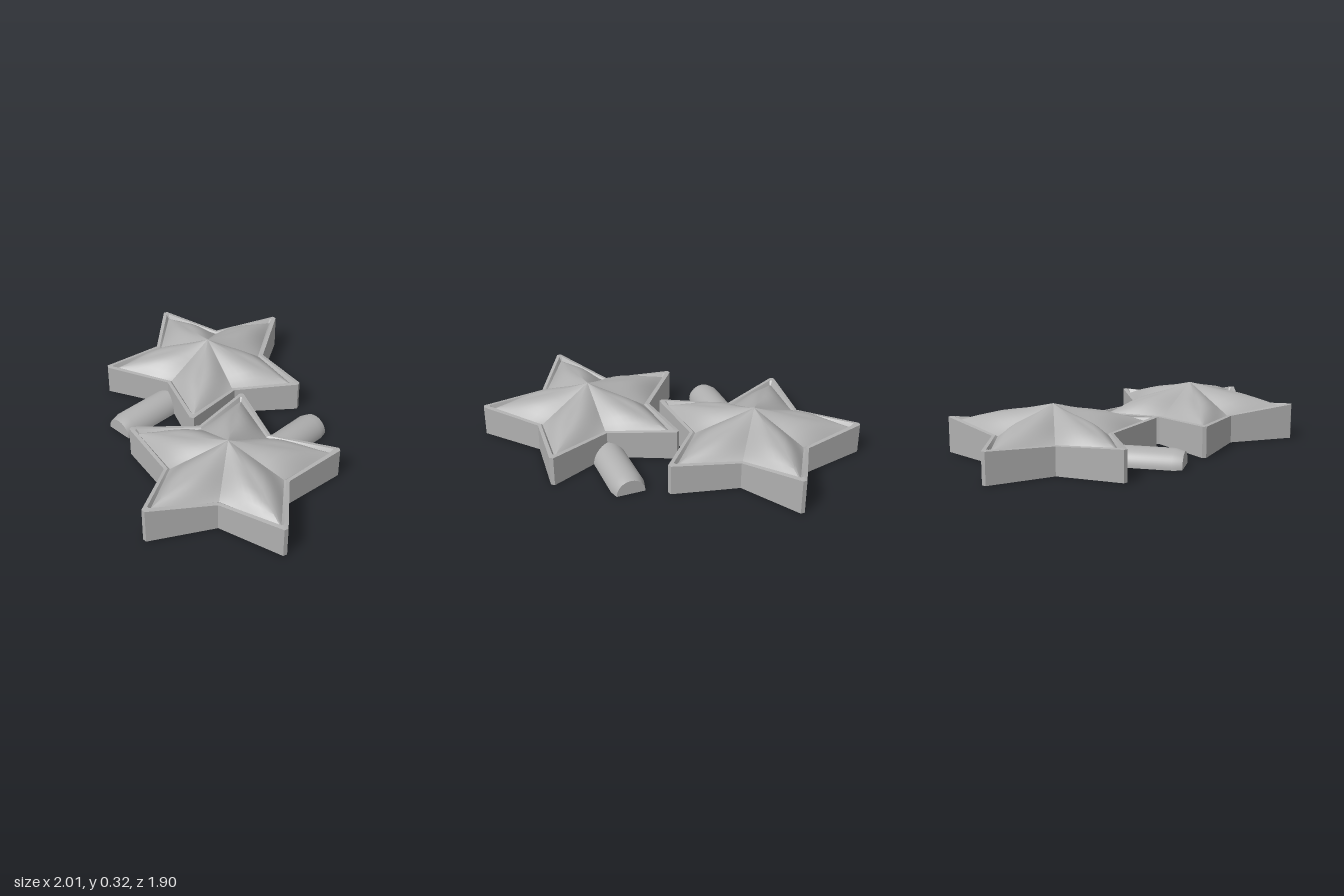
import * as THREE from 'three';
import { toCreasedNormals } from 'three/addons/utils/BufferGeometryUtils.js';

const stone = new THREE.MeshStandardMaterial({ color: 0xb0b0b0 });
stone.name = 'grey';

const APEX = 0.32;
const STEPS = 8;

// Star corners from the back tip round to the left: [x, z, rim height, is tip]
const half = [
  [-0.21, -0.29, 0.165, 0], [-0.6, -0.19, 0.183, 1],
  [-0.35, 0.12, 0.165, 0], [-0.38, 0.51, 0.18, 1],
];
const corners = [
  [0, -0.63, 0.21, 1], ...half, [0, 0.35, 0.165, 0],
  ...half.slice().reverse().map(([x, z, h, t]) => [-x, z, h, t]),
];

// Outline moved inwards by d, with blunt tips and subdivided edges
function outline(d, blunt) {
  const pts = [];
  for (const [x, z, h, tip] of corners) {
    const r = Math.hypot(x, z);
    const k = (r - d * (tip ? 2 : 1.15)) / r;
    if (tip) {
      for (const s of [-1, 1]) {
        pts.push({ x: x * k + s * blunt * z / r, z: z * k - s * blunt * x / r, h, tip });
      }
    } else pts.push({ x: x * k, z: z * k, h, tip });
  }
  const loop = [];
  pts.forEach((a, i) => {
    const b = pts[(i + 1) % pts.length];
    const n = a.tip && b.tip ? 1 : STEPS;
    for (let j = 0; j < n; j++) {
      const u = j / n, mix = (p, q) => p + (q - p) * u;
      loop.push({ x: mix(a.x, b.x), z: mix(a.z, b.z), h: mix(a.h, b.h), tip: mix(a.tip, b.tip) });
    }
  });
  return loop;
}

function starGeometry() {
  const outer = outline(0, 0.012);
  const rim = outline(0.018, 0.007);
  const groove = outline(0.028, 0.004);
  const at = (loop, y) => loop.map((p) => [p.x, y(p), p.z]);
  const low = (p) => p.h - 0.006 - 0.016 * p.tip;
  const rings = [at(outer, () => 0), at(outer, (p) => p.h), at(rim, (p) => p.h + 0.002), at(groove, low)];

  // Pillowed arms rising to the centre
  for (const t of [0.95, 0.88, 0.78, 0.65, 0.5, 0.35, 0.2, 0.08, 0]) {
    rings.push(groove.map((p) => {
      const bulge = 0.026 * Math.sin(Math.PI * p.tip) + 0.012 * p.tip;
      const y = APEX + (low(p) - APEX) * t + bulge * Math.sin(Math.PI * t * t);
      return [p.x * t, y, p.z * t];
    }));
  }

  const pos = [];
  const n = outer.length;
  for (let i = 0; i < n; i++) {
    const j = (i + 1) % n;
    pos.push(...rings[0][j], ...rings[0][i], 0, 0, 0); // underside
    for (let k = 0; k < rings.length - 1; k++) {
      const a = rings[k], b = rings[k + 1];
      pos.push(...a[i], ...a[j], ...b[j]);
      if (k < rings.length - 2) pos.push(...a[i], ...b[j], ...b[i]);
    }
  }
  const geo = new THREE.BufferGeometry();
  geo.setAttribute('position', new THREE.Float32BufferAttribute(pos, 3));
  return toCreasedNormals(geo, 0.4);
}

// Half-round peg with a chamfered end, lying along z
function pegParts() {
  const profile = [[0.1, 0], [0.1, 0.38], [0.085, 0.435], [0, 0.435]].map(([r, y]) => new THREE.Vector2(r, y));
  const round = new THREE.LatheGeometry(profile, 24, Math.PI / 2, Math.PI).rotateX(Math.PI / 2);
  const flat = new THREE.ShapeGeometry(new THREE.Shape([
    [-0.1, 0], [0.1, 0], [0.1, 0.38], [0.085, 0.435], [-0.085, 0.435], [-0.1, 0.38],
  ].map(([x, y]) => new THREE.Vector2(x, y)))).rotateX(Math.PI / 2);
  return { peg: toCreasedNormals(round.toNonIndexed(), 0.4), pegUnderside: flat };
}

export function createModel() {
  const model = new THREE.Group();
  model.name = 'starPair';
  const star = starGeometry();
  const pegs = pegParts();

  // Two identical pieces, turned half way round from each other
  for (const turn of [0, 1]) {
    const piece = new THREE.Group();
    piece.name = turn ? 'frontStarPiece' : 'backStarPiece';
    const body = new THREE.Mesh(star, stone);
    body.name = 'star';
    body.position.set(-0.4, 0, -0.32);
    piece.add(body);
    for (const [name, geo] of Object.entries(pegs)) {
      const mesh = new THREE.Mesh(geo, stone);
      mesh.name = name;
      mesh.position.x = -0.4;
      piece.add(mesh);
    }
    piece.rotation.y = turn * Math.PI;
    model.add(piece);
  }
  return model;
}
